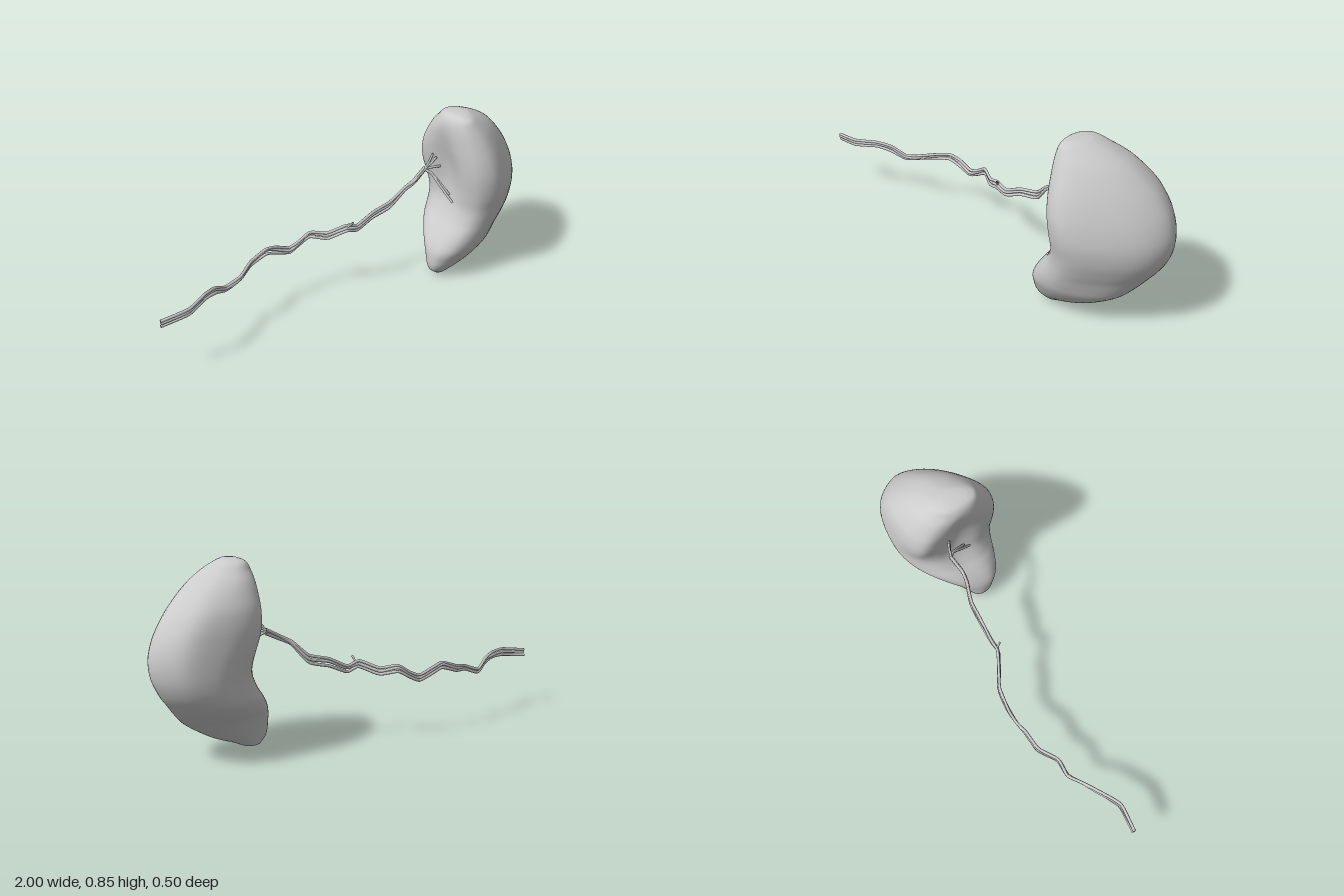
import * as THREE from 'three';

const material = new THREE.MeshStandardMaterial({ color: 0xcccccc, roughness: 0.8 });

// Height, x range and z range of the organ's cross-sections, from bottom to top
const LEVELS = [
  [0.006, 0.458, 0.545, -0.008, 0.064], [0.03, 0.431, 0.6, -0.022, 0.088], [0.06, 0.418, 0.68, -0.045, 0.114],
  [0.1, 0.415, 0.755, -0.075, 0.142], [0.15, 0.42, 0.83, -0.115, 0.17], [0.2, 0.442, 0.88, -0.17, 0.186],
  [0.25, 0.475, 0.92, -0.215, 0.197], [0.3, 0.51, 0.957, -0.235, 0.208], [0.37, 0.538, 0.99, -0.242, 0.225],
  [0.45, 0.54, 1.0, -0.242, 0.243], [0.53, 0.533, 0.983, -0.238, 0.246], [0.6, 0.525, 0.948, -0.23, 0.235],
  [0.67, 0.517, 0.895, -0.21, 0.212], [0.75, 0.51, 0.81, -0.16, 0.175], [0.8, 0.512, 0.73, -0.105, 0.145],
  [0.83, 0.527, 0.665, -0.068, 0.122], [0.843, 0.552, 0.63, -0.02, 0.085],
];

// Outlines in unit (x, z), from bottom to top: round lobe, cut-back notch, wedge with a hollow inner face, round cap
const OUTLINES = [
  [[0, 0.6], [0.02, 0.43], [0.12, 0.24], [0.35, 0.07], [0.6, 0], [0.85, 0.12],
    [1, 0.4], [0.93, 0.65], [0.72, 0.87], [0.4, 1], [0.15, 0.94], [0.03, 0.79]],
  [[0.03, 0.5], [0.05, 0.3], [0.16, 0.15], [0.34, 0.04], [0.55, 0], [0.83, 0.08],
    [1, 0.35], [0.93, 0.6], [0.66, 0.85], [0.33, 1], [0.1, 0.94], [0, 0.75]],
  [[0.06, 0.5], [0.02, 0.28], [0.05, 0.11], [0.2, 0.025], [0.5, 0], [0.83, 0.07],
    [1, 0.33], [0.91, 0.57], [0.62, 0.83], [0.27, 1], [0.07, 0.93], [0, 0.75]],
  [[0, 0.5], [0.03, 0.33], [0.12, 0.17], [0.3, 0.04], [0.52, 0], [0.83, 0.1],
    [1, 0.36], [0.92, 0.62], [0.65, 0.88], [0.35, 1], [0.12, 0.92], [0.02, 0.72]],
];
const BLENDS = OUTLINES[0].map((_, i) => new THREE.CatmullRomCurve3(
  OUTLINES.map((o, k) => new THREE.Vector3(o[i][0], k, o[i][1])), false, 'catmullrom', 0.5));

function outline(y, count) {
  const t = THREE.MathUtils.clamp((y - 0.1) / 0.7, 0, 1);
  const curve = new THREE.CatmullRomCurve3(BLENDS.map((b) => b.getPoint(t).setY(0)), true);
  const pts = Array.from({ length: count }, (_, i) => curve.getPoint(i / count));
  const box = new THREE.Box3().setFromPoints(pts);
  return pts.map((p) => [(p.x - box.min.x) / (box.max.x - box.min.x), (p.z - box.min.z) / (box.max.z - box.min.z)]);
}

// Loft of smoothly interpolated sections, closed by a pole at each end
function organGeometry() {
  const rows = 64, cols = 60;
  const spline = (a, b) => new THREE.CatmullRomCurve3(
    LEVELS.map((l) => new THREE.Vector3(l[a], l[0], l[b])), false, 'catmullrom', 0.5);
  const xs = spline(1, 2), zs = spline(3, 4);
  const pos = [], index = [];
  for (let r = 0; r <= rows; r++) {
    const x = xs.getPoint(r / rows), z = zs.getPoint(r / rows);
    for (const [u, v] of outline(x.y, cols)) {
      pos.push(THREE.MathUtils.lerp(x.x, x.z, u), x.y, THREE.MathUtils.lerp(z.x, z.z, v));
    }
  }
  for (let r = 0; r < rows; r++) {
    for (let c = 0; c < cols; c++) {
      const n = (c + 1) % cols, a = r * cols + c, b = r * cols + n;
      index.push(a, a + cols, b, b, a + cols, b + cols);
    }
  }
  const bottom = pos.length / 3, top = bottom + 1, last = rows * cols;
  pos.push(0.5, 0, 0.03, 0.59, 0.847, 0.035);
  for (let c = 0; c < cols; c++) {
    const n = (c + 1) % cols;
    index.push(bottom, c, n, top, last + n, last + c);
  }
  const geometry = new THREE.BufferGeometry();
  geometry.setAttribute('position', new THREE.Float32BufferAttribute(pos, 3));
  geometry.setIndex(index);
  geometry.computeVertexNormals();
  return geometry;
}

// Shared winding course of the vessels
const COURSE = [
  [-1, 0.27, -0.085], [-0.87, 0.284, -0.07], [-0.76, 0.29, -0.12], [-0.69, 0.277, -0.15], [-0.62, 0.24, -0.18],
  [-0.54, 0.265, -0.178], [-0.45, 0.282, -0.23], [-0.36, 0.31, -0.235], [-0.3, 0.292, -0.24], [-0.23, 0.265, -0.235],
  [-0.18, 0.285, -0.23], [-0.12, 0.32, -0.22], [-0.05, 0.307, -0.175], [0.03, 0.342, -0.125], [0.09, 0.325, -0.12],
  [0.18, 0.365, -0.115], [0.28, 0.39, -0.107], [0.35, 0.465, -0.08], [0.4, 0.492, -0.07], [0.48, 0.53, -0.083],
];

// Open-ended tube
const vesselMaterial = new THREE.MeshStandardMaterial({ color: 0xcccccc, roughness: 0.8, side: THREE.DoubleSide });
function vessel(name, points, radius) {
  const curve = new THREE.CatmullRomCurve3(points.map((p) => new THREE.Vector3(...p)), false, 'catmullrom', 0.25);
  const mesh = new THREE.Mesh(new THREE.TubeGeometry(curve, points.length * 5, radius, 8), vesselMaterial);
  mesh.name = name;
  return mesh;
}

export function createModel() {
  const model = new THREE.Group();
  model.name = 'organWithVessels';

  const organ = new THREE.Mesh(organGeometry(), material);
  organ.name = 'organBody';
  model.add(organ);

  // Strands side by side: they close up at the bend, part in the middle and draw together at the organ
  const vessels = new THREE.Group();
  vessels.name = 'vessels';
  const spread = (x) => (x > 0.3 ? 0.6 : x > 0 ? 1.25 : Math.abs(x + 0.55) < 0.1 ? 0.6 : 1.1);
  [['artery', 0.012], ['upperVein', 0.001], ['lowerVein', -0.012]].forEach(([name, offset], k) => {
    const points = COURSE.map(([x, y, z], i) => [
      x, y + offset * spread(x) + 0.002 * Math.sin(i * 1.7 + k * 2), z + 0.003 * Math.sin(i * 1.3 + k * 2.1)]);
    vessels.add(vessel(name, points, 0.007));
  });

  // Branches fanning out along the hollow inner face
  const fork = [0.475, 0.53, -0.082];
  const branches = [
    [[0.5, 0.565, -0.075], [0.515, 0.61, -0.065]],
    [[0.505, 0.555, -0.07], [0.53, 0.59, -0.055]],
    [[0.505, 0.535, -0.07], [0.55, 0.54, -0.045]],
    [[0.505, 0.505, -0.055], [0.525, 0.44, 0], [0.545, 0.38, 0.055]],
    [[0.5, 0.515, -0.06], [0.525, 0.47, -0.025], [0.55, 0.41, 0.025]],
  ];
  branches.forEach((points, i) => vessels.add(vessel(`hilumBranch${i + 1}`, [fork, ...points], 0.006)));
  vessels.add(vessel('sideBranch', [[0.03, 0.345, -0.125], [0.045, 0.358, -0.115], [0.05, 0.376, -0.1]], 0.005));
  model.add(vessels);
  return model;
}
